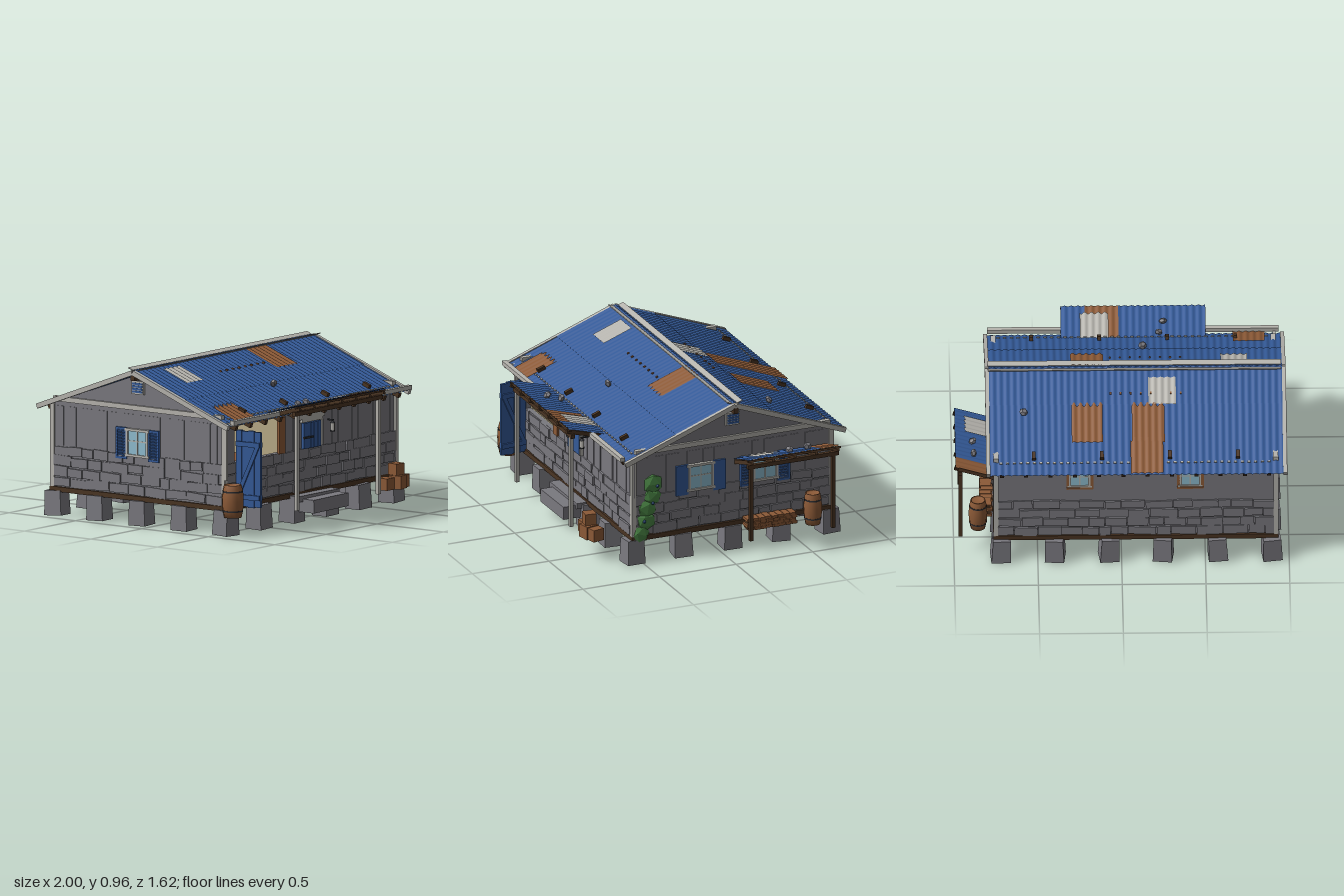
import * as THREE from 'three';

const mat = (name, color, double) => {
  const m = new THREE.MeshStandardMaterial({ color });
  m.name = name;
  if (double) m.side = THREE.DoubleSide;
  return m;
};

export function createModel() {
  const blue = mat('bluePaint', 0x345a98, true), rust = mat('rustWood', 0x8c5a37, true), pale = mat('paleTrim', 0xb6b4ae, true);
  const wall = mat('wallGrey', 0x7a797f), floorWood = mat('floorWood', 0x6a452d), brown = mat('darkTimber', 0x4a3422);
  const glass = mat('glass', 0x8fbdd0), beige = mat('plaster', 0xb8aa86), green = mat('leaf', 0x4a8545), iron = mat('iron', 0x2c2e33);
  green.flatShading = true;

  let seed = 7;
  const rnd = (a = 0, b = 1) => {
    seed = (seed * 16807) % 2147483647;
    return a + (b - a) * seed / 2147483647;
  };
  const root = new THREE.Group();
  root.name = 'cottage';
  const group = (name, parent = root) => {
    const g = new THREE.Group();
    g.name = name;
    parent.add(g);
    return g;
  };
  const add = (g, name, geo, m, x = 0, y = 0, z = 0, rx = 0, ry = 0, rz = 0) => {
    const mesh = new THREE.Mesh(geo, m);
    mesh.name = name;
    mesh.position.set(x, y, z);
    mesh.rotation.set(rx, ry, rz);
    g.add(mesh);
    return mesh;
  };
  const box = (g, name, m, w, h, d, ...at) => add(g, name, new THREE.BoxGeometry(w, h, d), m, ...at);

  const X0 = -0.92, X1 = 0.75, Z0 = -0.73, Z1 = 0.56, CX = (X0 + X1) / 2, CZ = -0.085;
  const SLOPE = 0.375, PITCH = Math.atan(SLOPE);
  const roofY = z => 0.94 - SLOPE * Math.abs(z - CZ);

  // Floor planks, sill beams, inner floor and ceiling
  const floor = group('floor');
  for (let i = 0; i < 22; i++)
    box(floor, 'floorPlank', floorWood, X1 - X0, 0.02, 0.055, CX, 0.158 + (i % 2) * 0.003, Z0 + 0.03 + i * (Z1 - Z0 - 0.06) / 21);
  for (const z of [Z0, Z1]) box(floor, 'sillBeam', brown, X1 - X0 + 0.03, 0.03, 0.03, CX, 0.165, z);
  for (const x of [X0, X1]) box(floor, 'sillBeam', brown, 0.03, 0.03, Z1 - Z0 + 0.03, x, 0.165, CZ);
  box(floor, 'innerFloor', rust, X1 - X0 - 0.05, 0.015, Z1 - Z0 - 0.05, CX, 0.178, CZ);
  box(floor, 'ceiling', beige, X1 - X0 - 0.05, 0.008, Z1 - Z0 - 0.05, CX, 0.675, CZ);

  // Stone piers around the perimeter
  const piers = group('piers');
  for (let i = 0; i < 6; i++) for (let j = 0; j < 5; j++) {
    if (i % 5 && j % 4) continue;
    const geo = new THREE.CylinderGeometry(0.075, 0.082, 0.15, 4).toNonIndexed().rotateY(Math.PI / 4);
    geo.computeVertexNormals();
    add(piers, 'pier', geo, wall, -0.895 + i * 0.323, 0.08, -0.72 + j * 0.318, rnd(-0.05, 0.05), rnd(-0.15, 0.15), rnd(-0.05, 0.05));
  }

  // Walls: local x runs along the wall, z points outward; holes are [x0, x1, y0, y1]
  const path = (Type, pts) => {
    const p = new Type();
    pts.forEach(([u, y], i) => i ? p.lineTo(u, y) : p.moveTo(u, y));
    p.closePath();
    return p;
  };
  const side = (name, x, z, ry, a, b, gable, holes = []) => {
    const g = group(name);
    g.position.set(x, 0, z);
    g.rotation.y = ry;
    const peak = gable ? [[(a + b) / 2, 0.915]] : [];
    const shape = path(THREE.Shape, [[a, 0.17], [b, 0.17], [b, 0.68], ...peak, [a, 0.68]]);
    shape.holes = holes.map(([p, q, r, t]) => path(THREE.Path, [[p, r], [p, t], [q, t], [q, r]]));
    const slab = depth => new THREE.ExtrudeGeometry(shape, { depth, bevelEnabled: false });
    add(g, 'wallSlab', slab(0.03), wall, 0, 0, -0.03);
    add(g, 'wallLining', slab(0.005), beige, 0, 0, -0.035).scale.x = 0.97;
    for (let r = 0; r < 4; r++) {
      for (let u = a; u < b - 0.02;) {
        const w = Math.min(rnd(0.07, 0.17), b - u), h = rnd(0.048, 0.064), d = rnd(0.012, 0.03);
        box(g, 'wallStone', wall, w - 0.005, h, d, u + w / 2, 0.212 + r * 0.063 + rnd(-0.005, 0.005), 0, 0, 0, rnd(-0.05, 0.05));
        u += w;
      }
    }
    for (let u = a + 0.03; u < b - 0.04;) {
      const w = rnd(0.04, 0.09), d = rnd(0.004, 0.01);
      if (!holes.some(([p, q]) => u < q && u + w > p)) box(g, 'wallBoard', wall, w, 0.24, d, u + w / 2, 0.55, 0);
      u += w + rnd(0.005, 0.05);
    }
    for (const u of [a, b]) box(g, 'cornerPost', pale, 0.03, 0.5, 0.024, u, 0.43, 0);
    return g;
  };
  const front = side('frontWall', 0, Z1, 0, X0, X1, false, [[-0.82, -0.36, 0.435, 0.65]]);
  const back = side('backWall', 0, Z0, Math.PI, -X1, -X0, false, [[-0.33, -0.17, 0.51, 0.66], [0.33, 0.49, 0.51, 0.66]]);
  const right = side('leftGableWall', X1, 0, Math.PI / 2, -Z1, -Z0, true);
  const left = side('rightGableWall', X0, 0, -Math.PI / 2, Z0, Z1, true);

  // Windows, with plank or louvred shutters
  const windowAt = (wallGroup, x, y, w, h, shutters, z = 0.006) => {
    const g = group('window', wallGroup);
    g.position.set(x, y, z);
    box(g, 'pane', glass, w, h, 0.009, 0, 0, 0.004);
    for (const k of [-1, 1]) {
      box(g, 'frameSide', pale, 0.014, h + 0.014, 0.024, k * w / 2, 0, 0.004);
      box(g, 'frameRail', pale, w + 0.03, 0.015, 0.026, 0, k * h / 2, 0.004);
      if (!shutters) continue;
      const sh = group('shutter', g);
      sh.position.set(k * (w / 2 + 0.047), -0.008, 0.004);
      sh.rotation.y = -k * 0.04;
      if (shutters === 'plank') box(sh, 'shutterBoard', blue, 0.08, 0.19, 0.014);
      else {
        for (const e of [-1, 1]) {
          box(sh, 'shutterStile', blue, 0.012, 0.19, 0.016, e * 0.034, 0, 0);
          box(sh, 'shutterRail', blue, 0.07, 0.014, 0.016, 0, e * 0.088, 0);
        }
        for (let i = 0; i < 9; i++) box(sh, 'slat', blue, 0.06, 0.019, 0.004, 0, -0.072 + i * 0.018, 0.002, 0.5);
      }
    }
    box(g, 'muntin', pale, 0.007, h, 0.014, 0, 0, 0.004);
    box(g, 'muntin', pale, w, 0.007, 0.014, 0, 0.01, 0.004);
    return g;
  };
  windowAt(right, -0.125, 0.5, 0.15, 0.155, 'plank');
  windowAt(right, 0.295, 0.495, 0.15, 0.155, 'louvre');
  windowAt(left, -0.085, 0.5, 0.15, 0.155, 'louvre');
  for (const x of [-0.25, 0.41]) {
    const g = windowAt(back, x, 0.585, 0.115, 0.12, null, -0.016);
    for (const k of [-1, 1]) box(g, 'windowReveal', rust, 0.018, 0.15, 0.024, k * 0.072, 0, 0.004);
    box(g, 'windowSill', rust, 0.16, 0.014, 0.026, 0, -0.07, 0.006);
  }

  // Front wall: opening jamb and closed hatch
  box(front, 'openingJamb', rust, 0.06, 0.22, 0.02, -0.37, 0.54, 0.004);
  for (let i = 0; i < 5; i++) box(front, 'hatchPlank', blue, 0.032, 0.155, 0.02, -0.153 + i * 0.034, 0.51, 0.01);
  box(front, 'hatchLatch', iron, 0.09, 0.012, 0.01, -0.13, 0.5, 0.024);
  box(front, 'hatchLintel', pale, 0.27, 0.035, 0.03, -0.105, 0.63, 0.01);
  box(front, 'hatchLintel', pale, 0.2, 0.02, 0.026, -0.085, 0.603, 0.01);
  box(front, 'hatchJamb', pale, 0.013, 0.16, 0.024, 0.013, 0.515, 0.01);

  // Open plank door
  const door = group('openDoor');
  door.position.set(-0.805, 0.4, Z1 + 0.095);
  door.rotation.y = 0.12;
  for (let i = 0; i < 4; i++) box(door, 'doorPlank', blue, 0.018, 0.465 - (i % 2) * 0.01, 0.041, 0, 0, -0.065 + i * 0.043);
  for (const k of [-1, 1]) {
    for (const y of [-0.17, 0.15]) box(door, 'doorRail', blue, 0.012, 0.03, 0.165, k * 0.014, y, 0);
    box(door, 'doorBrace', blue, 0.011, 0.33, 0.025, k * 0.014, -0.01, 0, 0.42);
  }

  // Gable trim and vents
  for (const g of [right, left]) {
    const c = g === right ? -CZ : CZ;
    box(g, 'gableTrim', pale, 1.27, 0.03, 0.03, c, 0.712, 0);
    box(g, 'ventFrame', pale, 0.09, 0.08, 0.02, c, 0.835, 0.004);
    for (let i = 0; i < 4; i++) box(g, 'ventSlat', blue, 0.075, 0.012, 0.012, c, 0.811 + i * 0.016, 0.012);
    box(g, 'ridgeBeamEnd', brown, 0.03, 0.035, 0.08, c, 0.9, 0.02);
  }

  // Corrugated sheet: a plane whose height follows the slope plus a wave; ragged waves the lower edge
  const sheet = (g, name, m, x0, x1, z0, z1, yOf, lift = 0, ragged = 0) => {
    const geo = new THREE.PlaneGeometry(1, 1, Math.round((x1 - x0) / 0.005), 1), p = geo.attributes.position;
    for (let i = 0; i < p.count; i++) {
      const x = x0 + (p.getX(i) + 0.5) * (x1 - x0), upper = p.getY(i) > 0, wave = Math.cos(x * Math.PI * 50);
      const z = upper ? z0 + (ragged < 0 ? ragged * wave : 0) : z1 + (ragged > 0 ? ragged * wave : 0);
      p.setXYZ(i, x, yOf(z) + lift + 0.003 * wave, z);
    }
    geo.computeVertexNormals();
    return add(g, name, geo, m);
  };
  const rock = (g, x, y, z) => add(g, 'roofRock', new THREE.DodecahedronGeometry(0.025), wall, x, y, z, x * 9, z * 9, 0).scale.y = 0.7;

  // Main roof in overlapping courses
  const roof = group('roof'), R0 = -0.965, R1 = 0.785;
  sheet(roof, 'frontUpperSheet', blue, R0, R1, CZ, 0.3, roofY, 0.006);
  sheet(roof, 'frontLowerSheet', blue, R0, R1, 0.28, 0.63, roofY);
  sheet(roof, 'backUpperSheet', blue, R0, R1, -0.34, CZ, roofY, 0.006);
  sheet(roof, 'backLowerSheet', blue, R0, R1, -0.81, -0.32, roofY);
  [[rust, 0.1, 0.295, -0.07, 0.175, 0.012], [rust, -0.87, -0.68, 0.43, 0.632, -0.012], [rust, -0.25, -0.055, -0.81, -0.58, 0.012],
    [rust, -0.26, -0.065, -0.6, -0.345, 0.012], [rust, 0.11, 0.295, -0.6, -0.345, 0.012],
    [pale, -0.76, -0.6, -0.03, 0.15, 0.005], [pale, -0.33, -0.165, -0.345, -0.165, -0.005]]
    .forEach(([m, x0, x1, z0, z1, ragged]) => sheet(roof, 'roofPatch', m, x0, x1, z0, z1, roofY, 0.013, ragged));
  rock(roof, -0.14, roofY(0.33) + 0.02, 0.33);
  rock(roof, 0.58, roofY(-0.4) + 0.02, -0.4);
  for (const k of [-1, 1]) {
    const at = d => CZ + k * d, tilt = k * PITCH;
    box(roof, 'ridgeStrip', pale, R1 - R0, 0.005, 0.036, CX, roofY(at(0.033)) + 0.021, at(0.033), -tilt);
    for (const x of [R0 - 0.011, R1 + 0.011])
      box(roof, 'bargeBoard', pale, 0.024, 0.03, 0.765, x, roofY(at(0.36)) - 0.008, at(0.36), tilt);
    for (let i = 0; i < 12; i++)
      box(roof, 'rafterTail', brown, 0.024, 0.03, 0.14, -0.88 + i * 0.145, roofY(at(0.64)) - 0.025, at(0.64), tilt);
    for (let i = 0; i < 4; i++)
      box(roof, 'roofCleat', brown, 0.022, 0.022, 0.05, -0.695 + i * 0.406, roofY(at(0.605)) + 0.015, at(0.605), tilt);
    for (let i = 0; i < 41; i++)
      box(roof, 'roofScrew', pale, 0.018, 0.006, 0.01, -0.88 + i * 0.04, roofY(at(0.645)) + 0.005, at(0.645), tilt);
    for (let i = 0; i < 8; i++)
      box(roof, 'rustyScrew', rust, 0.01, 0.008, 0.014, -0.36 + i * 0.06, roofY(at(0.185)) + 0.011, at(0.185), tilt);
  }
  box(roof, 'gutter', pale, R1 - R0 - 0.01, 0.026, 0.03, CX, 0.695, 0.645);
  box(roof, 'downpipe', pale, 0.016, 0.34, 0.016, X0 - 0.008, 0.51, Z1 + 0.02);
  box(roof, 'downpipeElbow', pale, 0.016, 0.016, 0.09, X0 - 0.008, 0.68, Z1 + 0.05);

  // Lean-to awnings that rise outward; local z points away from the house
  const awning = (name, o) => {
    const g = group(name), rise = o.y1 - o.y0, run = o.z1 - o.z0, a = -Math.atan2(rise, run);
    const yOf = z => o.y0 + rise * (z - o.z0) / run, zm = (o.z0 + o.z1) / 2;
    o.strips.forEach(([m, x0, x1]) => sheet(g, 'awningSheet', m, x0, x1, o.z0, o.z1, yOf, 0.008));
    o.patches.forEach(([m, ...r]) => sheet(g, 'awningPatch', m, ...r, yOf, 0.017, 0.005));
    for (let i = 0; i < o.rafters; i++)
      box(g, 'awningRafter', brown, 0.017, 0.025, Math.hypot(rise, run) + 0.012, o.x0 + 0.022 + i * (o.x1 - o.x0 - 0.044) / (o.rafters - 1), yOf(zm) - 0.014, zm, a);
    const pz = o.z1 - 0.03, top = yOf(pz) - 0.027;
    box(g, 'awningBeam', brown, o.x1 - o.x0 - 0.01, 0.025, 0.025, (o.x0 + o.x1) / 2, top - 0.012, pz);
    box(g, 'awningLath', brown, o.x1 - o.x0, 0.012, 0.018, (o.x0 + o.x1) / 2, yOf(o.z1 - 0.01) - 0.004, o.z1 - 0.01, a);
    for (const x of o.posts) box(g, 'awningPost', o.postMat, 0.022, top - 0.12, 0.022, x, (top + 0.12) / 2, pz);
    o.rocks.forEach(([x, z]) => rock(g, x, yOf(z) + 0.024, z));
    return g;
  };
  awning('frontPorch', { x0: -0.52, x1: 0.345, z0: 0.565, z1: 0.8, y0: 0.685, y1: 0.752, rafters: 7, posts: [-0.485, 0.31], postMat: pale,
    strips: [[blue, -0.52, 0], [rust, 0, 0.2], [blue, 0.2, 0.345]], patches: [[pale, 0.06, 0.23, 0.56, 0.74]], rocks: [[-0.24, 0.59], [-0.265, 0.67]] });
  awning('sideAwning', { x0: 0.085, x1: 0.69, z0: 0.76, z1: 0.99, y0: 0.57, y1: 0.643, rafters: 5, posts: [0.115, 0.65], postMat: brown,
    strips: [[blue, 0.085, 0.58], [rust, 0.58, 0.69]], patches: [[pale, 0.15, 0.31, 0.78, 0.93]], rocks: [[0.52, 0.88], [0.4, 0.885]] }).rotation.y = Math.PI / 2;

  // Stone steps
  box(root, 'lowerStep', wall, 0.34, 0.08, 0.14, -0.085, 0.11, 0.65, 0, 0, 0.01);
  box(root, 'upperStep', wall, 0.4, 0.035, 0.08, -0.1, 0.15, 0.6);

  // Barrels
  for (const [x, z, r] of [[-0.93, 0.63, 0.066], [0.855, -0.565, 0.056]]) {
    const b = group('barrel');
    b.position.set(x, 0.122, z);
    const prof = [[0, 0], [0.8, 0], [0.95, 0.05], [1, 0.1], [0.95, 0.15], [0.8, 0.197], [0.72, 0.197], [0.72, 0.185], [0, 0.185]];
    add(b, 'barrelBody', new THREE.LatheGeometry(prof.map(([k, y]) => new THREE.Vector2(k * r, y)), 12), rust);
    for (const y of [0.04, 0.157]) add(b, 'barrelHoop', new THREE.CylinderGeometry(r * 0.95, r * 0.95, 0.009, 12), iron, 0, y, 0);
  }

  // Crates
  [[0.437, 0.163, 0.73, 0.072, 0.02], [0.525, 0.167, 0.752, 0.082, 0.2], [0.582, 0.165, 0.735, 0.075, 0.25], [0.518, 0.245, 0.745, 0.07, -0.1]]
    .forEach(([x, y, z, w, ry]) => box(root, 'crate', rust, w, w, w, x, y, z, 0, ry));

  // Stacked bricks beside the wall
  const bricks = group('brickStack');
  for (let r = 0; r < 4; r++) for (let i = 0; i < 8; i++)
    box(bricks, 'brick', rust, 0.07, 0.017, 0.036, 0.805 + rnd(-0.006, 0.006), 0.14 + r * 0.019, -0.175 - i * 0.04 + (r % 2) * 0.012);
  box(bricks, 'brickCore', brown, 0.055, 0.072, 0.31, 0.805, 0.167, -0.31);

  // Climbing vine with small buds
  const vine = group('vine');
  [[0.5, 0.435, 0.066], [0.42, 0.44, 0.06], [0.345, 0.475, 0.064], [0.27, 0.48, 0.064], [0.19, 0.515, 0.058]].forEach(([y, z, r], i) =>
    add(vine, 'leafClump', new THREE.IcosahedronGeometry(r, 0), green, 0.76, y, z, i * 0.7, 0, 0).scale.x = 0.33);
  for (const [y, z] of [[0.49, 0.415], [0.385, 0.445], [0.275, 0.5]])
    add(vine, 'bud', new THREE.IcosahedronGeometry(0.011, 0), blue, 0.782, y, z);

  // Lantern
  const lamp = group('lantern');
  lamp.position.set(0.085, 0.54, 0.6);
  box(lamp, 'lanternBracket', iron, 0.008, 0.008, 0.05, 0, 0.04, -0.018);
  add(lamp, 'lanternCap', new THREE.ConeGeometry(0.017, 0.014, 6), iron, 0, 0.03, 0);
  add(lamp, 'lanternGlass', new THREE.CylinderGeometry(0.014, 0.014, 0.046, 6), pale);
  add(lamp, 'lanternBase', new THREE.CylinderGeometry(0.016, 0.016, 0.008, 6), iron, 0, -0.025, 0);

  return root;
}
